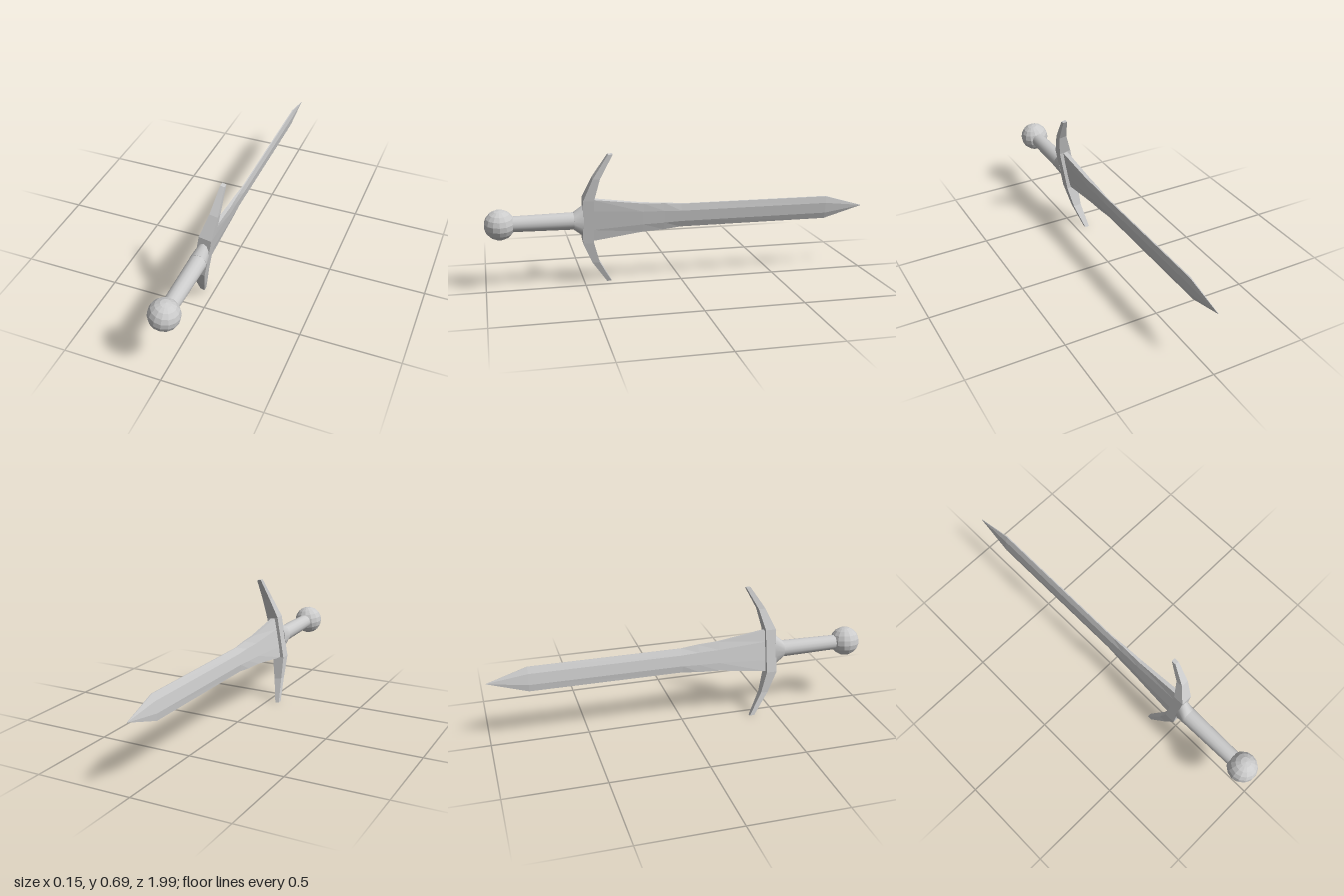
import * as THREE from 'three';

const steel = new THREE.MeshStandardMaterial({ color: 0xcccccc, flatShading: true });
const smooth = new THREE.MeshStandardMaterial({ color: 0xcccccc });

// Skins a list of rings (each an array of [x, y, z]) and caps both ends
function loft(rings) {
  const n = rings[0].length;
  const last = (rings.length - 1) * n;
  const index = [];
  for (let i = 0; i < rings.length - 1; i++) {
    for (let j = 0; j < n; j++) {
      const k = (j + 1) % n;
      const a = i * n + j, b = i * n + k;
      index.push(a, b, b + n, a, b + n, a + n);
    }
  }
  for (let j = 1; j < n - 1; j++) {
    index.push(0, j + 1, j, last, last + j, last + j + 1);
  }
  const geometry = new THREE.BufferGeometry();
  geometry.setAttribute('position', new THREE.Float32BufferAttribute(rings.flat(2), 3));
  geometry.setIndex(index);
  const flat = geometry.toNonIndexed();
  flat.computeVertexNormals();
  return flat;
}

export function createModel() {
  const sword = new THREE.Group();
  sword.name = 'sword';

  function add(name, geometry, material = steel) {
    const mesh = new THREE.Mesh(geometry, material);
    mesh.name = name;
    sword.add(mesh);
    return mesh;
  }

  // Blade: [z, half height, half thickness at the middle, half thickness at the edge]
  const bladeStations = [
    [0.46, 0.113, 0.014, 0.012],
    [0.2, 0.078, 0.014, 0.009],
    [0.09, 0.073, 0.013, 0.006],
    [0, 0.064, 0.013, 0.003],
    [-0.79, 0.063, 0.012, 0.003],
    [-0.995, 0.001, 0.001, 0.001],
  ];
  add('blade', loft(bladeStations.map(([z, h, t, e]) => {
    const m = h * 0.45;
    return [
      [e, h, z], [t, m, z], [t, -m, z], [e, -h, z],
      [-e, -h, z], [-t, -m, z], [-t, m, z], [-e, h, z],
    ];
  })));

  // Crossguard: [distance from the centre, back z, front z, half width, sideways shift]
  const arm = [
    [0.115, 0.455, 0.51, 0.032, 0.001],
    [0.228, 0.425, 0.462, 0.021, 0.007],
    [0.348, 0.36, 0.384, 0.011, 0],
  ];
  const lower = arm.map(([y, ...rest]) => [-y, ...rest]).reverse();
  add('crossguard', loft([...lower, ...arm].map(([y, z0, z1, w, s]) => [
    [s + w, y, z1], [s + w, y, z0], [s - w, y, z0], [s - w, y, z1],
  ])));

  // Oval collar flaring from the grip into the guard
  const collar = add('collar',
    new THREE.CylinderGeometry(0.045, 0.088, 0.05, 16).rotateX(Math.PI / 2), smooth);
  collar.geometry.translate(0, 0, 0.53);
  const p = collar.geometry.attributes.position;
  for (let i = 0; i < p.count; i++) {
    if (p.getZ(i) < 0.53) p.setX(i, p.getX(i) * 0.4);
  }
  collar.geometry.computeVertexNormals();

  // Grip
  const grip = add('grip',
    new THREE.CylinderGeometry(0.039, 0.044, 0.33, 16).rotateX(Math.PI / 2), smooth);
  grip.position.z = 0.715;

  // Pommel
  const pommel = add('pommel', new THREE.SphereGeometry(0.077, 14, 9));
  pommel.position.z = 0.919;

  // The whole sword leans slightly to its left
  sword.rotation.z = -0.172;
  sword.position.y = 0.345;
  const model = new THREE.Group();
  model.name = 'leaningSword';
  model.add(sword);
  return model;
}
